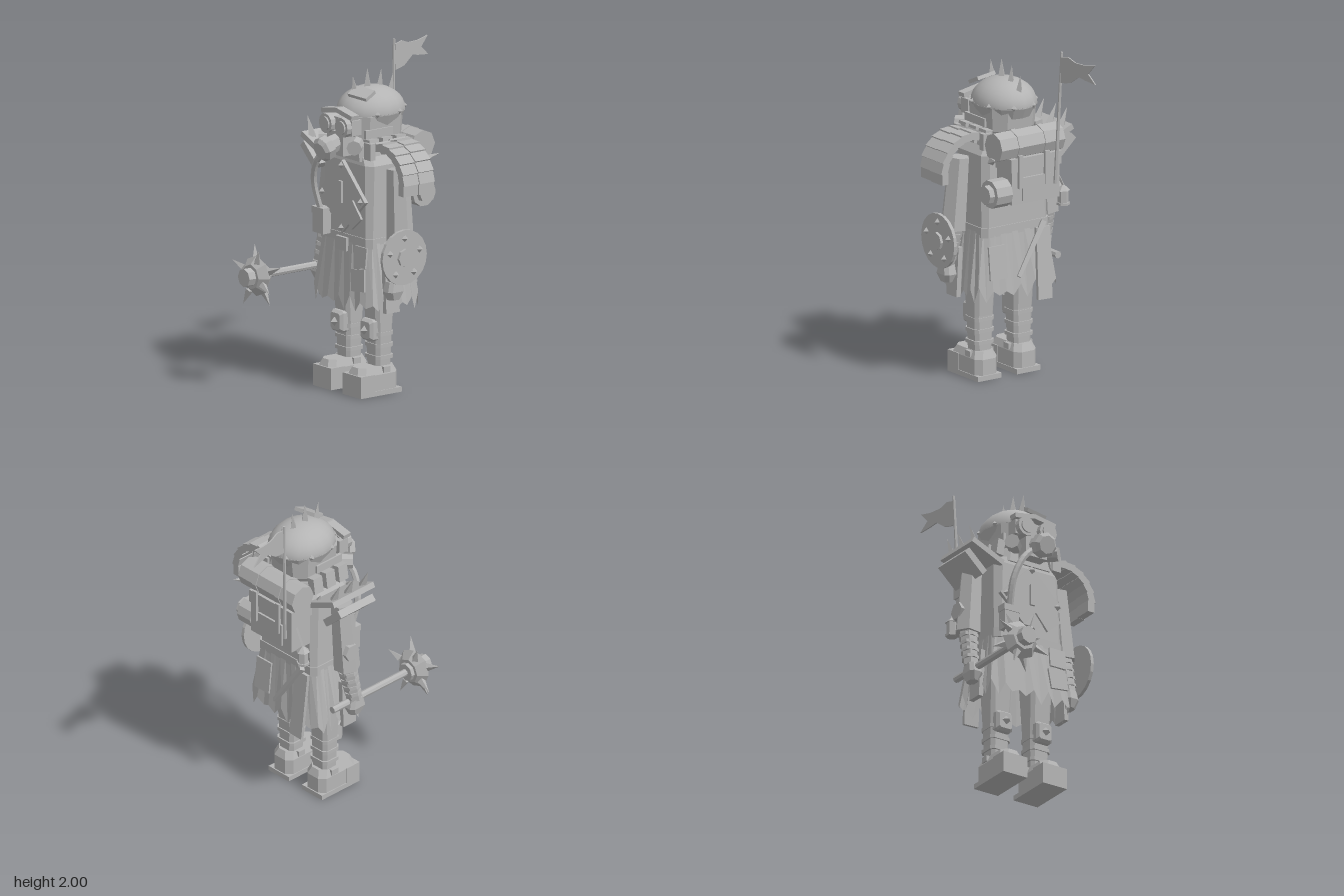
import * as THREE from 'three';

const grey = new THREE.MeshStandardMaterial({ color: 0xb4b4b4, side: THREE.DoubleSide });
grey.name = 'plain grey';
const V = (x, y, z) => new THREE.Vector3(x, y, z);
const UP = V(0, 1, 0);

export function createModel() {
  const model = new THREE.Group();
  model.name = 'wastelandWarrior';

  // faceted mesh (smooth = true keeps rounded normals)
  function add(name, geo, x = 0, y = 0, z = 0, rx = 0, ry = 0, rz = 0, smooth = false) {
    if (!smooth) {
      if (geo.index) geo = geo.toNonIndexed();
      geo.computeVertexNormals();
    }
    const m = new THREE.Mesh(geo, grey);
    m.name = name;
    m.position.set(x, y, z);
    m.rotation.set(rx, ry, rz);
    model.add(m);
    return m;
  }
  const box = (name, w, h, d, ...place) => add(name, new THREE.BoxGeometry(w, h, d), ...place);
  // tapered bar from p to q
  function bar(name, p, q, r0, r1, n = 8) {
    const dir = q.clone().sub(p);
    const mid = p.clone().add(q).multiplyScalar(0.5);
    const m = add(name, new THREE.CylinderGeometry(r1, r0, dir.length(), n), mid.x, mid.y, mid.z);
    m.quaternion.setFromUnitVectors(UP, dir.normalize());
    return m;
  }
  const spike = (name, p, dir, len, r, n = 4) =>
    bar(name, p, p.clone().addScaledVector(dir.clone().normalize(), len), r, 0, n);
  // stacked chamfered rectangles: [y, half width, half depth, chamfer, z shift]
  function loft(name, rings, x = 0, y = 0, z = 0) {
    const pos = [], idx = [];
    rings.forEach(([h, w, d, c, s = 0]) => {
      [[w, d - c], [w - c, d], [c - w, d], [-w, d - c], [-w, c - d], [c - w, -d], [w - c, -d], [w, c - d]]
        .forEach(([a, b]) => pos.push(a, h, b + s));
    });
    for (let k = 0; k < rings.length - 1; k++)
      for (let i = 0; i < 8; i++) {
        const a = k * 8 + i, b = k * 8 + (i + 1) % 8;
        idx.push(a, b, a + 8, b, b + 8, a + 8);
      }
    const t = (rings.length - 1) * 8;
    for (let i = 1; i < 7; i++) idx.push(0, i + 1, i, t, t + i, t + i + 1);
    // the ring runs from +x toward +z, so swap to face outward
    for (let i = 0; i < idx.length; i += 3) [idx[i + 1], idx[i + 2]] = [idx[i + 2], idx[i + 1]];
    const g = new THREE.BufferGeometry();
    g.setAttribute('position', new THREE.Float32BufferAttribute(pos, 3));
    g.setIndex(idx);
    return add(name, g, x, y, z);
  }
  const cylZ = (name, r0, r1, len, n, x, y, z, tilt = 0) =>
    add(name, new THREE.CylinderGeometry(r1, r0, len, n), x, y, z, Math.PI / 2 + tilt);
  const cylX = (name, r, len, n, x, y, z) =>
    add(name, new THREE.CylinderGeometry(r, r, len, n), x, y, z, 0, 0, Math.PI / 2);
  const stud = (name, x, y, z, r = 0.022) => add(name, new THREE.OctahedronGeometry(r), x, y, z);

  // legs and boots
  for (const s of [-1, 1]) {
    const x = s * 0.14;
    box('bootSole', 0.17, 0.03, 0.305, x, 0.015, 0.065);
    box('bootToe', 0.17, 0.13, 0.105, x, 0.065, 0.165);
    loft('bootUpper', [[0.03, 0.08, 0.145, 0.035], [0.125, 0.08, 0.145, 0.035], [0.17, 0.062, 0.125, 0.035]], x, 0, 0.065);
    box('bootCuff', 0.17, 0.035, 0.05, x, 0.15, 0.02);
    loft('leg', [[0.15, 0.058, 0.055, 0.02], [0.38, 0.066, 0.06, 0.02], [0.75, 0.075, 0.085, 0.02]], x, 0, 0.015);
    for (const y of [0.22, 0.29, 0.36])
      loft('shinWrap', [[0, 0.07, 0.065, 0.02], [0.022, 0.07, 0.065, 0.02]], x, y - 0.011, 0.015);
    const pad = loft('kneePad', [[-0.03, 0.055, 0.064, 0.012], [0.01, 0.055, 0.064, 0.012], [0.03, 0.042, 0.05, 0.01]], x, 0.385, 0.09);
    pad.rotation.x = Math.PI / 2;
    stud('kneeStud', x, 0.385, 0.125, 0.028);
  }

  // tattered skirt with a jagged hem
  const N = 44, pos = [], idx = [];
  const square = v => Math.max(-1, Math.min(1, v * 1.25));
  for (let i = 0; i < N; i++) {
    const a = i / N * Math.PI * 2, c = square(Math.cos(a)), s = square(Math.sin(a));
    const pleat = i % 4 ? 1 : 0.97;
    const hem = (i % 2 ? 0.58 : 0.52) + 0.022 * Math.sin(i * 2.3);
    pos.push(c * 0.235, 0.95, s * 0.165, c * 0.295 * pleat, hem, s * 0.205 * pleat);
    const p = 2 * i, q = 2 * ((i + 1) % N);
    idx.push(p, q, p + 1, q, q + 1, p + 1);
  }
  const skirtGeo = new THREE.BufferGeometry();
  skirtGeo.setAttribute('position', new THREE.Float32BufferAttribute(pos, 3));
  skirtGeo.setIndex(idx);
  add('skirt', skirtGeo);
  for (const s of [-1, 1]) box('sideStrip', 0.03, 0.3, 0.1, s * 0.295, 0.66, 0.05, 0, 0, s * 0.05);
  box('frontPatch', 0.11, 0.12, 0.012, 0.18, 0.84, 0.182, -0.1);
  box('frontPatch', 0.12, 0.13, 0.012, 0.175, 0.7, 0.197, -0.1, 0, 0.12);
  box('backPatch', 0.12, 0.2, 0.012, 0.16, 0.74, -0.192, 0.1);
  box('backFlap', 0.1, 0.43, 0.02, -0.16, 0.69, -0.207, 0.09, 0, 0.03);
  bar('scabbard', V(-0.17, 0.94, -0.195), V(0.03, 0.64, -0.225), 0.022, 0.016, 4);

  // coat and belt
  loft('coat', [[0.9, 0.235, 0.165, 0.03], [1.38, 0.225, 0.155, 0.04], [1.47, 0.16, 0.13, 0.04]]);
  loft('belt', [[0.89, 0.24, 0.17, 0.03], [0.95, 0.24, 0.17, 0.03]]);
  box('buckle', 0.1, 0.08, 0.03, 0, 0.89, 0.175);
  box('pouch', 0.1, 0.15, 0.06, -0.17, 1.0, 0.195);
  box('pouchFlap', 0.11, 0.04, 0.065, -0.17, 1.06, 0.197);

  // diamond chest plate
  box('chestPlate', 0.31, 0.31, 0.025, 0, 1.17, 0.17, 0, 0, Math.PI / 4);
  box('chestPatch', 0.12, 0.13, 0.015, 0.11, 1.08, 0.187, 0, 0, 0.7);
  box('chestBar', 0.032, 0.13, 0.015, 0, 1.2, 0.19);
  for (const [x, y] of [[0, 1.36], [0, 0.985], [0.18, 1.17], [-0.18, 1.17]]) stud('chestStud', x, y, 0.185);

  // arms
  for (const s of [-1, 1]) {
    bar('upperArm', V(s * 0.3, 1.365, 0), V(s * 0.335, 0.93, 0.01), 0.066, 0.08, 6);
    bar('forearm', V(s * 0.33, 0.95, 0.01), V(s * 0.345, 0.7, 0.06), 0.06, 0.045, 6);
    for (const t of [0.15, 0.35, 0.55, 0.75]) {
      const p = V(s * (0.33 + 0.015 * t), 0.95 - 0.25 * t, 0.01 + 0.05 * t);
      bar('armWrap', p, p.clone().add(V(s * 0.002, -0.022, 0.004)), 0.061 - t * 0.012, 0.061 - t * 0.012);
    }
    loft('hand', [[-0.06, 0.03, 0.04, 0.02], [-0.01, 0.045, 0.06, 0.02], [0.05, 0.04, 0.045, 0.02]], s * 0.34, 0.66, 0.065);
  }
  cylX('elbowPad', 0.055, 0.03, 6, -0.388, 1.07, -0.01);

  // spiked mace
  const mx = -0.335, my = 0.685, mz = 0.55;
  cylZ('maceHandle', 0.022, 0.022, 0.62, 8, mx, my, 0.2);
  cylZ('maceCore', 0.055, 0.055, 0.165, 8, mx, my, 0.563);
  cylZ('maceHeadBack', 0.075, 0.122, 0.045, 8, mx, my, mz - 0.0225);
  cylZ('maceHeadFront', 0.122, 0.075, 0.045, 8, mx, my, mz + 0.0225);
  for (let i = 0; i < 8; i++) {
    const a = (i + 0.5) * Math.PI / 4, d = V(Math.cos(a), Math.sin(a), i % 2 ? 0.2 : -0.2);
    spike('maceSpike', V(mx + d.x * 0.095, my + d.y * 0.095, mz + d.z * 0.12), d, 0.095, 0.024);
  }

  // round shield on the left forearm
  cylX('shield', 0.165, 0.02, 20, 0.41, 0.862, 0.045);
  cylX('shieldBoss', 0.055, 0.035, 8, 0.42, 0.862, 0.045);
  for (let i = 0; i < 5; i++) {
    const a = Math.PI / 2 + i * Math.PI * 0.4;
    stud('shieldStud', 0.422, 0.862 + Math.sin(a) * 0.115, 0.045 + Math.cos(a) * 0.115);
  }

  // left shoulder: two bands of curved, stepped segments
  for (const [z, r] of [[-0.055, 0.198], [0.055, 0.191]])
    for (let i = 0; i < 8; i++) {
      const a = 1.95 - i * 0.3;
      box('shoulderSegment', 0.045, 0.07, 0.112, 0.28 + Math.cos(a) * r, 1.31 + Math.sin(a) * r, z, 0, 0, a + 0.14);
    }
  for (const z of [-0.13, 0.13]) box('shoulderStrap', 0.06, 0.1, 0.04, 0.2, 1.47, z);

  // right shoulder: spiked planks
  box('shoulderPlank', 0.235, 0.035, 0.33, -0.295, 1.42, 0, 0, 0, -0.42);
  box('lowerPlank', 0.17, 0.045, 0.28, -0.365, 1.345, 0, 0, 0, -0.75);
  for (const z of [-0.11, 0, 0.12]) spike('shoulderSpike', V(-0.35, 1.45, z), V(-0.4, 1, 0), 0.135, 0.03);
  for (const z of [-0.12, 0.12]) spike('shoulderStud', V(-0.23, 1.4, z), V(-0.4, 1, 0), 0.05, 0.02);

  // collar and head
  loft('collar', [[1.4, 0.19, 0.16, 0.05], [1.49, 0.17, 0.15, 0.05]]);
  for (const s of [-1, 1]) for (const z of [-0.1, 0, 0.1]) box('collarBlock', 0.05, 0.1, 0.07, s * 0.185, 1.485, z, 0, 0, s * 0.15);
  loft('head', [[1.44, 0.12, 0.13, 0.05], [1.52, 0.15, 0.17, 0.06], [1.66, 0.16, 0.185, 0.07]], 0, 0, -0.02);

  // helmet
  const dome = add('helmetDome', new THREE.SphereGeometry(1, 16, 8, 0, Math.PI * 2, 0, Math.PI / 2), 0, 1.66, -0.035, 0, 0, 0, true);
  dome.scale.set(0.185, 0.15, 0.215);
  const rim = add('helmetRim', new THREE.CylinderGeometry(1, 0.84, 0.07, 16), 0, 1.63, -0.035);
  rim.scale.set(0.185, 1, 0.215);
  for (let i = 0; i < 8; i++) {
    const a = (i + 0.5) * Math.PI / 4;
    stud('rimStud', Math.sin(a) * 0.18, 1.67, -0.035 + Math.cos(a) * 0.21, 0.02);
  }
  for (const [z, y, lean] of [[0.08, 1.76, 0.15], [-0.01, 1.79, 0], [-0.1, 1.77, -0.1], [-0.18, 1.73, -0.15]])
    spike('crestSpike', V(0, y, z), V(0, 1, lean), 0.125, 0.028);
  box('helmetPatch', 0.145, 0.022, 0.085, 0.07, 1.787, 0.088, 0.45, 0.12, -0.12);

  // goggles, mask, filters and hose
  for (const s of [-1, 1]) {
    box('brow', 0.15, 0.028, 0.055, s * 0.068, 1.682, 0.195, 0, 0, s * -0.18);
    cylZ('goggle', 0.06, 0.06, 0.08, 12, s * 0.075, 1.605, 0.205);
    cylZ('goggleLens', 0.042, 0.042, 0.012, 12, s * 0.075, 1.605, 0.249);
    bar('filter', V(s * 0.09, 1.5, 0.14), V(s * 0.165, 1.495, 0.22), 0.045, 0.045);
    box('maskStrap', 0.02, 0.05, 0.2, s * 0.155, 1.56, 0.03);
  }
  box('goggleBand', 0.27, 0.09, 0.07, 0, 1.605, 0.175);
  box('maskFace', 0.15, 0.14, 0.1, 0, 1.5, 0.18);
  cylZ('snout', 0.05, 0.06, 0.1, 8, 0, 1.495, 0.25, 0.3);
  cylZ('snoutCap', 0.076, 0.076, 0.045, 8, 0, 1.478, 0.305, 0.3);
  cylZ('snoutFront', 0.076, 0.055, 0.02, 8, 0, 1.468, 0.336, 0.3);
  const hose = new THREE.CatmullRomCurve3([V(-0.04, 1.46, 0.25), V(-0.12, 1.38, 0.27), V(-0.175, 1.24, 0.25), V(-0.17, 1.05, 0.2)]);
  add('hose', new THREE.TubeGeometry(hose, 12, 0.02, 6));

  // backpack and bedroll
  box('backpack', 0.34, 0.26, 0.15, -0.03, 1.24, -0.235);
  box('packFlap', 0.36, 0.08, 0.165, -0.03, 1.35, -0.235);
  box('packPocket', 0.2, 0.14, 0.03, -0.03, 1.2, -0.308);
  cylX('bedroll', 0.088, 0.455, 8, 0, 1.46, -0.245);
  for (const x of [-0.1, 0.09]) {
    cylX('bedrollStrap', 0.093, 0.03, 8, x, 1.46, -0.245);
    box('packStrap', 0.03, 0.2, 0.02, x, 1.31, -0.322);
  }
  cylX('canteen', 0.085, 0.11, 10, 0.195, 1.18, -0.235);
  cylX('canteenCap', 0.058, 0.04, 8, 0.265, 1.18, -0.235);
  spike('packSpike', V(0.24, 1.38, -0.24), V(0.4, 0.3, -1), 0.1, 0.025);

  // hanging lantern
  add('lanternBody', new THREE.CylinderGeometry(0.032, 0.032, 0.08, 6), -0.255, 1.09, -0.27);
  add('lanternTop', new THREE.ConeGeometry(0.042, 0.04, 6), -0.255, 1.15, -0.27);
  add('lanternBase', new THREE.CylinderGeometry(0.04, 0.04, 0.015, 6), -0.255, 1.05, -0.27);
  bar('lanternHook', V(-0.255, 1.16, -0.27), V(-0.2, 1.27, -0.27), 0.008, 0.008, 4);

  // pole and swallowtail flag
  bar('flagPole', V(-0.16, 1.2, -0.325), V(-0.185, 2, -0.355), 0.012, 0.008, 6);
  const flag = new THREE.Shape([[0, 0], [0.06, 0.012], [0.12, -0.01], [0.2, -0.01], [0.28, 0.005], [0.225, -0.055],
    [0.285, -0.11], [0.2, -0.1], [0.15, -0.09], [0.08, -0.14], [0.04, -0.15], [0, -0.155]].map(p => new THREE.Vector2(...p)));
  add('flag', new THREE.ExtrudeGeometry(flag, { depth: 0.008, bevelEnabled: false }), -0.183, 1.97, -0.355, 0, Math.PI / 2 + 0.16);

  return model;
}
